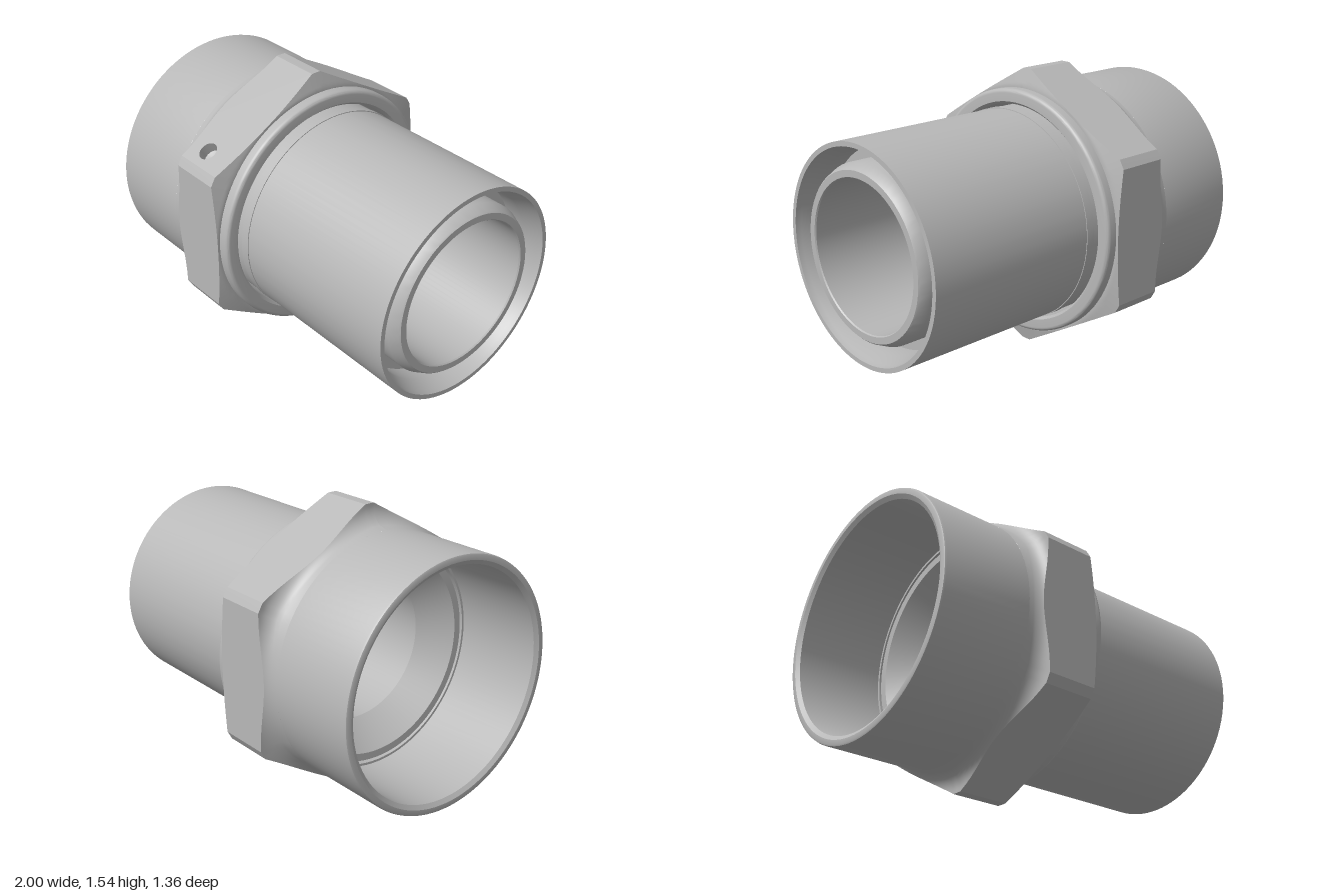
import * as THREE from 'three';
import { toCreasedNormals } from 'three/addons/utils/BufferGeometryUtils.js';

const FLAT = 0.68, CORNER = 0.77;               // hex: flat distance, turned corner radius
const HALF = Math.acos(FLAT / CORNER);          // half angle of one flat
const STEPS = 16;

// hex end profiles: concave fillet on the left, shallow chamfer on the right
const leftX = r => r < 0.755 ? -0.5 + Math.sqrt(Math.max(0, 0.01 - (0.755 - r) ** 2)) : -0.4;
const rightX = r => -0.09 - Math.max(0, r - FLAT) * 0.28;

// surface grid whose front follows du x dv
function grid(f, nu, nv) {
  const pos = [], idx = [];
  for (let i = 0; i <= nu; i++) for (let j = 0; j <= nv; j++) pos.push(...f(i, j));
  for (let i = 0; i < nu; i++) for (let j = 0; j < nv; j++) {
    const a = i * (nv + 1) + j, b = a + nv + 1;
    idx.push(a, b, b + 1, a, b + 1, a + 1);
  }
  const g = new THREE.BufferGeometry();
  g.setAttribute('position', new THREE.Float32BufferAttribute(pos, 3));
  g.setIndex(idx);
  g.computeVertexNormals();
  return g;
}

// revolve [radius, x] points around the x axis
function turned(points, segments = 96) {
  const g = new THREE.LatheGeometry(points.map(p => new THREE.Vector2(p[0], p[1])), segments);
  g.rotateZ(-Math.PI / 2);
  return toCreasedNormals(g, 0.45);
}

export function createModel() {
  const metal = new THREE.MeshStandardMaterial({ color: 0xb8b8b8 });
  metal.name = 'grey metal';
  const model = new THREE.Group();
  model.name = 'pipeFitting';
  const body = new THREE.Group();
  body.name = 'fittingBody';
  body.position.y = 0.77;
  model.add(body);
  const add = (name, geometry, parent = body) => {
    const m = new THREE.Mesh(geometry, metal);
    m.name = name;
    parent.add(m);
    return m;
  };

  // socket tube with its bore
  add('socketTube', turned([
    [0.60, -0.03], [0.587, -0.045], [0.587, -0.5], [0.60, -0.5], [0.60, -0.985],
    [0.622, -1], [0.645, -1], [0.652, -0.997], [0.655, -0.988], [0.655, -0.5],
  ]));

  // rounded collar beside the hex
  const collar = [[0.62, -0.09], [0.667, -0.09]];
  for (let i = 0; i <= 6; i++) {
    const a = i / 6 * Math.PI / 2;
    collar.push([0.645 + 0.022 * Math.cos(a), -0.052 + 0.022 * Math.sin(a)]);
  }
  collar.push([0.60, -0.03]);
  add('collar', turned(collar));

  // inner sleeve with a ring groove in its right end
  add('innerSleeve', turned([
    [0.57, -0.5], [0.57, -0.03], [0.574, -0.03], [0.574, 0.02], [0.57, 0.02],
    [0.57, 1], [0.545, 1], [0.54, 0.97], [0.515, 0.9], [0.515, 0.8], [0.46, 0.8],
    [0.46, 0.93], [0.437, 0.98], [0.43, 0.987], [0.395, 0.987], [0.39, 0.98],
    [0.39, -0.35], [0.53, -0.5], [0.57, -0.5],
  ]));

  // hex ring
  const hex = new THREE.Group();
  hex.name = 'hexRing';
  body.add(hex);

  const angles = [], radii = [];
  for (let k = 0; k < 6; k++) {
    const mid = (k + 0.5) * Math.PI / 3;
    for (let i = 0; i <= STEPS; i++) {
      const phi = (i / STEPS * 2 - 1) * HALF;
      angles.push(mid + phi);
      radii.push(FLAT / Math.cos(phi));
    }
    angles.push((k + 1) * Math.PI / 3);
    radii.push(CORNER);
  }
  angles.push(angles[0] + Math.PI * 2);
  radii.push(radii[0]);
  const n = angles.length - 1, rings = 10;
  const endPoint = (i, j, r0, xOf) => {
    const r = r0 + (radii[i] - r0) * j / rings;
    return [xOf(r), r * Math.cos(angles[i]), r * Math.sin(angles[i])];
  };
  add('hexLeftFillet', grid((i, j) => endPoint(i, j, 0.655, leftX), n, rings), hex);
  add('hexRightChamfer', grid((j, i) => endPoint(i, j, 0.62, rightX), rings, n), hex);

  // six flats, one with a drilled hole, and the turned corners between them
  const holeX = -0.28, holeT = -0.268, holeR = 0.05;
  for (let k = 0; k < 6; k++) {
    const left = [], right = [];
    for (let i = 0; i <= STEPS; i++) {
      const phi = (i / STEPS * 2 - 1) * HALF;
      const t = FLAT * Math.tan(phi), r = FLAT / Math.cos(phi);
      left.push(new THREE.Vector2(leftX(r), t));
      right.push(new THREE.Vector2(rightX(r), t));
    }
    const shape = new THREE.Shape([...right, ...left.reverse()]);
    if (k === 1) {
      const hole = new THREE.Path();
      hole.absarc(holeX, holeT, holeR, 0, Math.PI * 2, true);
      shape.holes.push(hole);
    }
    const flat = new THREE.ShapeGeometry(shape, 16);
    flat.translate(0, 0, FLAT);
    flat.rotateX(-k * Math.PI / 3);
    add('hexFlat', flat, hex);

    const spread = Math.PI / 6 - HALF;
    add('hexCorner', grid((i, j) => {
      const a = k * Math.PI / 3 + (i - 1) * spread;
      return [j ? rightX(CORNER) : leftX(CORNER), CORNER * Math.cos(a), CORNER * Math.sin(a)];
    }, 2, 1), hex);
  }

  // blind drilled hole
  const well = new THREE.LatheGeometry(
    [[holeR, 0], [holeR, -0.06], [0, -0.075]].map(p => new THREE.Vector2(...p)), 32);
  well.rotateX(Math.PI / 2);
  well.translate(holeX, holeT, FLAT);
  well.rotateX(-Math.PI / 3);
  add('drilledHole', toCreasedNormals(well, 0.5), hex);

  return model;
}
